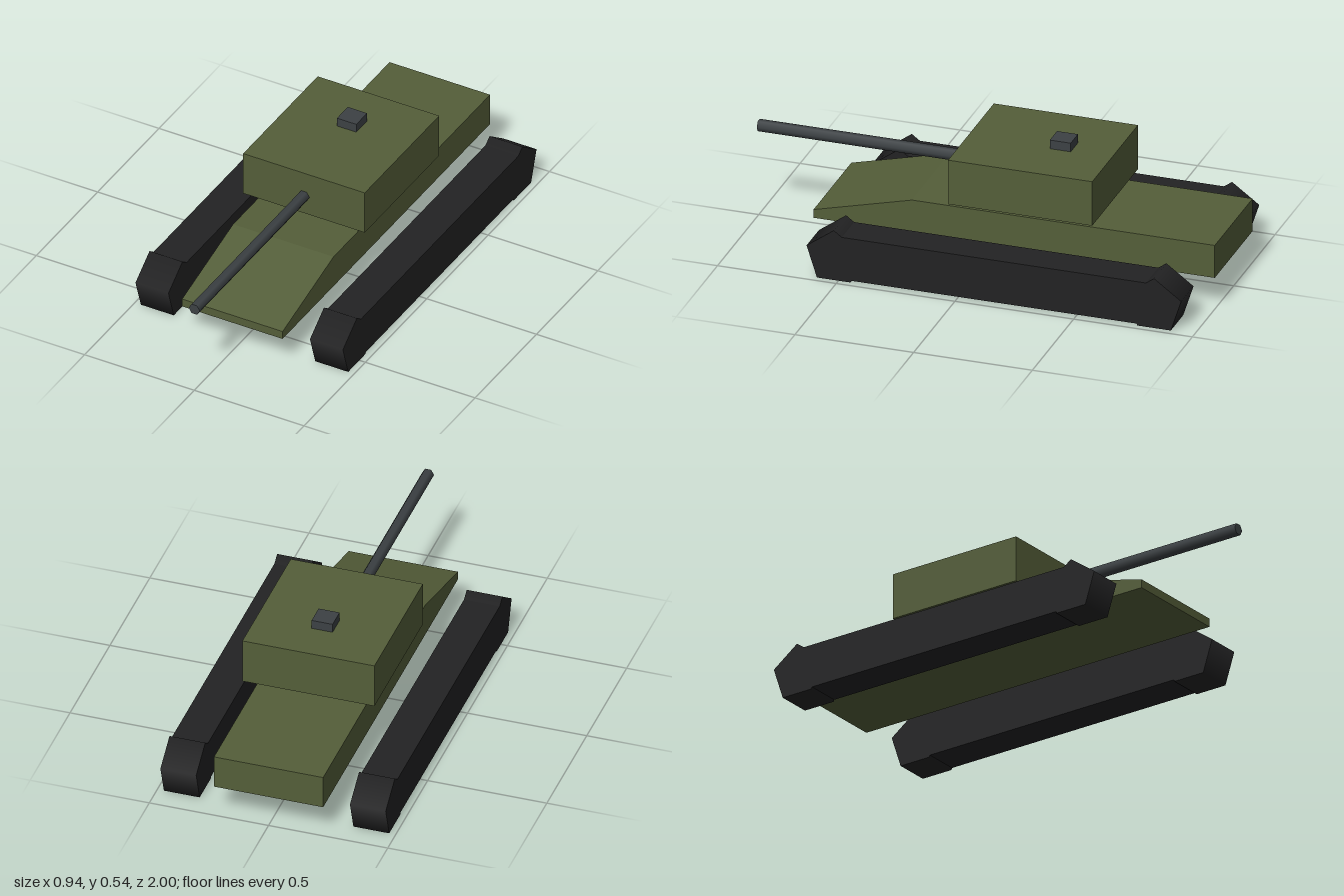
import * as THREE from 'three';

function material(name, color) {
  const m = new THREE.MeshStandardMaterial({ color });
  m.name = name;
  return m;
}

export function createModel() {
  const model = new THREE.Group();
  model.name = 'tank';
  const green = material('olive green', 0x545e39);
  const black = material('track black', 0x222223);
  const steel = material('gun steel', 0x3c4144);

  function add(name, geometry, mat, x, y, z, parent = model) {
    const mesh = new THREE.Mesh(geometry, mat);
    mesh.name = name;
    mesh.position.set(x, y, z);
    parent.add(mesh);
    return mesh;
  }

  // Hull: side profile (z, y) with a sloped front plate
  const profile = [[-1, 0.138], [0.69, 0.138], [0.69, 0.174], [0.275, 0.281], [-1, 0.281]];
  const hullShape = new THREE.Shape(profile.map(([z, y]) => new THREE.Vector2(z, y)));
  const hull = new THREE.ExtrudeGeometry(hullShape, { depth: 0.458, bevelEnabled: false });
  hull.translate(0, 0, -0.229).rotateY(-Math.PI / 2);
  add('hull', hull, green, 0, 0, 0);

  // Turret, hatch and six-sided gun barrel
  add('turret', new THREE.BoxGeometry(0.554, 0.194, 0.607), green, 0, 0.408, -0.197);
  add('hatch', new THREE.BoxGeometry(0.088, 0.038, 0.088), steel, 0, 0.524, -0.285);
  const barrel = new THREE.CylinderGeometry(0.025, 0.025, 0.9, 6, 1, false, Math.PI / 2);
  barrel.rotateX(Math.PI / 2);
  add('gunBarrel', barrel, steel, 0, 0.395, 0.55);

  // Tracks: a long block with a five-sided wheel at each end, point up
  const wheel = new THREE.CylinderGeometry(0.1203, 0.1203, 0.15, 5, 1, false, Math.PI / 2);
  wheel.rotateZ(Math.PI / 2);
  const belt = new THREE.BoxGeometry(0.15, 0.185, 1.349);
  for (const side of [1, -1]) {
    const track = new THREE.Group();
    track.name = side > 0 ? 'leftTrack' : 'rightTrack';
    track.position.x = side * 0.3975;
    model.add(track);
    add('trackBelt', belt, black, 0, 0.1005, -0.1545, track);
    add('frontWheel', wheel, black, 0, 0.0974, 0.52, track);
    add('rearWheel', wheel, black, 0, 0.0974, -0.829, track);
  }
  return model;
}
